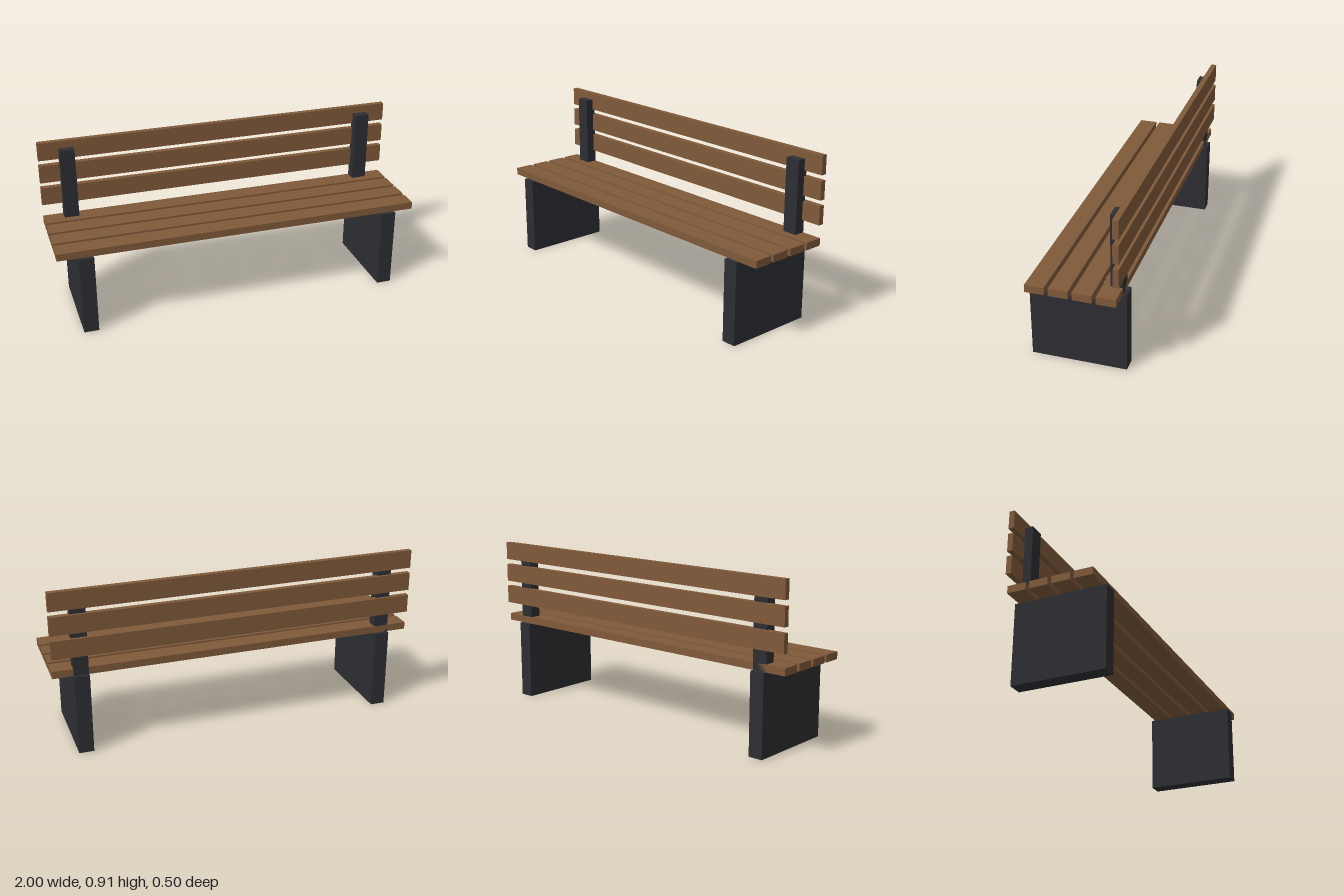
import * as THREE from 'three';

export function createModel() {
  const bench = new THREE.Group();
  bench.name = 'bench';
  const wood = new THREE.MeshStandardMaterial({ color: 0x805a3a });
  const metal = new THREE.MeshStandardMaterial({ color: 0x2d2e33 });

  function addBox(name, material, [w, h, d], [x, y, z]) {
    const mesh = new THREE.Mesh(new THREE.BoxGeometry(w, h, d), material);
    mesh.name = name;
    mesh.position.set(x, y, z);
    bench.add(mesh);
  }

  // Solid end supports, each with an upright post for the backrest
  for (const [side, x] of [['left', 0.85], ['right', -0.85]]) {
    addBox(`${side}Leg`, metal, [0.08, 0.44, 0.5], [x, 0.22, 0]);
    addBox(`${side}BackPost`, metal, [0.08, 0.43, 0.06], [x, 0.655, -0.2]);
  }

  // Four seat slats, front to back
  for (let i = 0; i < 4; i++) {
    addBox(`seatSlat${i + 1}`, wood, [2, 0.04, 0.1], [0, 0.46, 0.18 - i * 0.12]);
  }

  // Three backrest slats, bottom to top
  for (let i = 0; i < 3; i++) {
    addBox(`backSlat${i + 1}`, wood, [2, 0.1, 0.03], [0, 0.6 + i * 0.13, -0.23]);
  }

  return bench;
}
